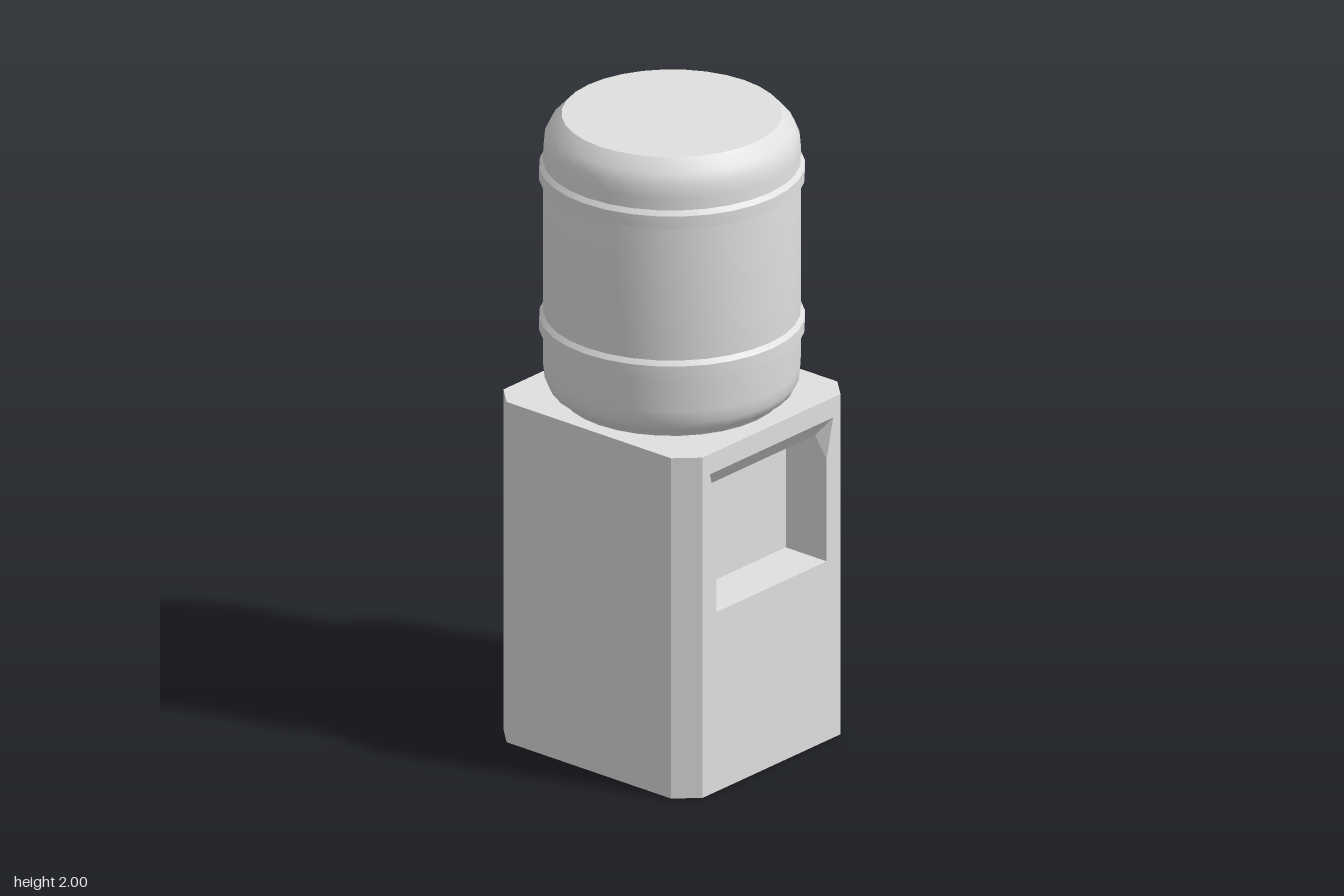
import * as THREE from 'three';
import { toCreasedNormals } from 'three/addons/utils/BufferGeometryUtils.js';

const grey = new THREE.MeshStandardMaterial({ color: 0xe0e0e0 });
grey.name = 'light grey plastic';

function part(name, geometry) {
  const mesh = new THREE.Mesh(geometry, grey);
  mesh.name = name;
  return mesh;
}

// Flat-shaded surface from convex polygons, corners counter-clockwise seen from outside
function facets(polygons) {
  const positions = [];
  for (const p of polygons) {
    for (let i = 1; i < p.length - 1; i++) positions.push(...p[0], ...p[i], ...p[i + 1]);
  }
  const geometry = new THREE.BufferGeometry();
  geometry.setAttribute('position', new THREE.Float32BufferAttribute(positions, 3));
  geometry.computeVertexNormals();
  return geometry;
}

// Cabinet size and the size of its corner chamfers
const W = 0.39, D = 0.378, H = 1.1, CX = 0.322, CZ = 0.313;
// Niche: half width, flared half width, heights and depths (x)
const N = 0.25, F = 0.28, FLOOR = 0.58, KINK = 0.91, CEIL = 0.975, LIP = 1.035;
const MID = 0.345, BACK = 0.23;

function createCabinet() {
  const cabinet = new THREE.Group();
  cabinet.name = 'cabinet';

  // Chamfered footprint; its last edge is the side that holds the niche
  const plan = [[W, -CZ], [CX, -D], [-CX, -D], [-W, -CZ], [-W, CZ], [-CX, D], [CX, D], [W, CZ]];
  const ring = (y) => plan.map(([x, z]) => [x, y, z]);
  const bottom = ring(0), top = ring(H);
  const shell = [top, [...bottom].reverse()];
  for (let i = 0; i < plan.length - 1; i++) {
    shell.push([bottom[i], bottom[i + 1], top[i + 1], top[i]]);
  }
  cabinet.add(part('cabinetShell', facets(shell)));

  // Side panel with the niche opening
  const v = (x, y) => new THREE.Vector2(x, y);
  const panel = new THREE.Shape([v(-CZ, 0), v(CZ, 0), v(CZ, H), v(-CZ, H)]);
  panel.holes.push(new THREE.Path([
    v(-N, FLOOR), v(-N, KINK), v(-F, LIP), v(F, LIP), v(N, KINK), v(N, FLOOR),
  ]));
  const panelGeometry = new THREE.ShapeGeometry(panel);
  panelGeometry.rotateY(Math.PI / 2).translate(W, 0, 0);
  cabinet.add(part('nichePanel', panelGeometry));

  // Niche lining: floor, back, ceiling and flared lip
  const edge = [[W, FLOOR, N], [BACK, FLOOR, N], [BACK, CEIL, N], [MID, CEIL, N], [W, LIP, F]];
  const mirror = ([x, y, z]) => [x, y, -z];
  const lining = [];
  for (let i = 0; i < edge.length - 1; i++) {
    const a = edge[i], b = edge[i + 1];
    lining.push([a, mirror(a), mirror(b), b]);
  }
  // Niche cheeks with their flared corners
  const cheek = [...edge.slice(0, 4), [W, KINK, N]];
  const flare = [[W, KINK, N], [MID, CEIL, N], [W, LIP, F]];
  for (const side of [cheek, flare]) {
    lining.push(side, side.map(mirror).reverse());
  }
  cabinet.add(part('niche', facets(lining)));
  return cabinet;
}

function lathe(profile, crease) {
  const points = profile.map(([r, y]) => new THREE.Vector2(r, y));
  return toCreasedNormals(new THREE.LatheGeometry(points, 32), crease);
}

function createBottle() {
  const bottle = new THREE.Group();
  bottle.name = 'bottle';

  // Rounded shoulders with flat ends, standing on a short foot
  bottle.add(part('bottleBody', lathe([
    [0, 1.1], [0.33, 1.1], [0.338, 1.113], [0.366, 1.132], [0.379, 1.16], [0.383, 1.2],
    [0.383, 1.89], [0.379, 1.93], [0.364, 1.962], [0.328, 2], [0, 2],
  ], 0.6)));

  // Raised hoops
  for (const y of [1.312, 1.797]) {
    bottle.add(part('hoop', lathe([
      [0.38, y - 0.006], [0.395, y], [0.395, y + 0.04], [0.38, y + 0.058],
    ], 0.5)));
  }
  return bottle;
}

export function createModel() {
  const model = new THREE.Group();
  model.name = 'waterCooler';
  model.add(createCabinet(), createBottle());
  return model;
}
